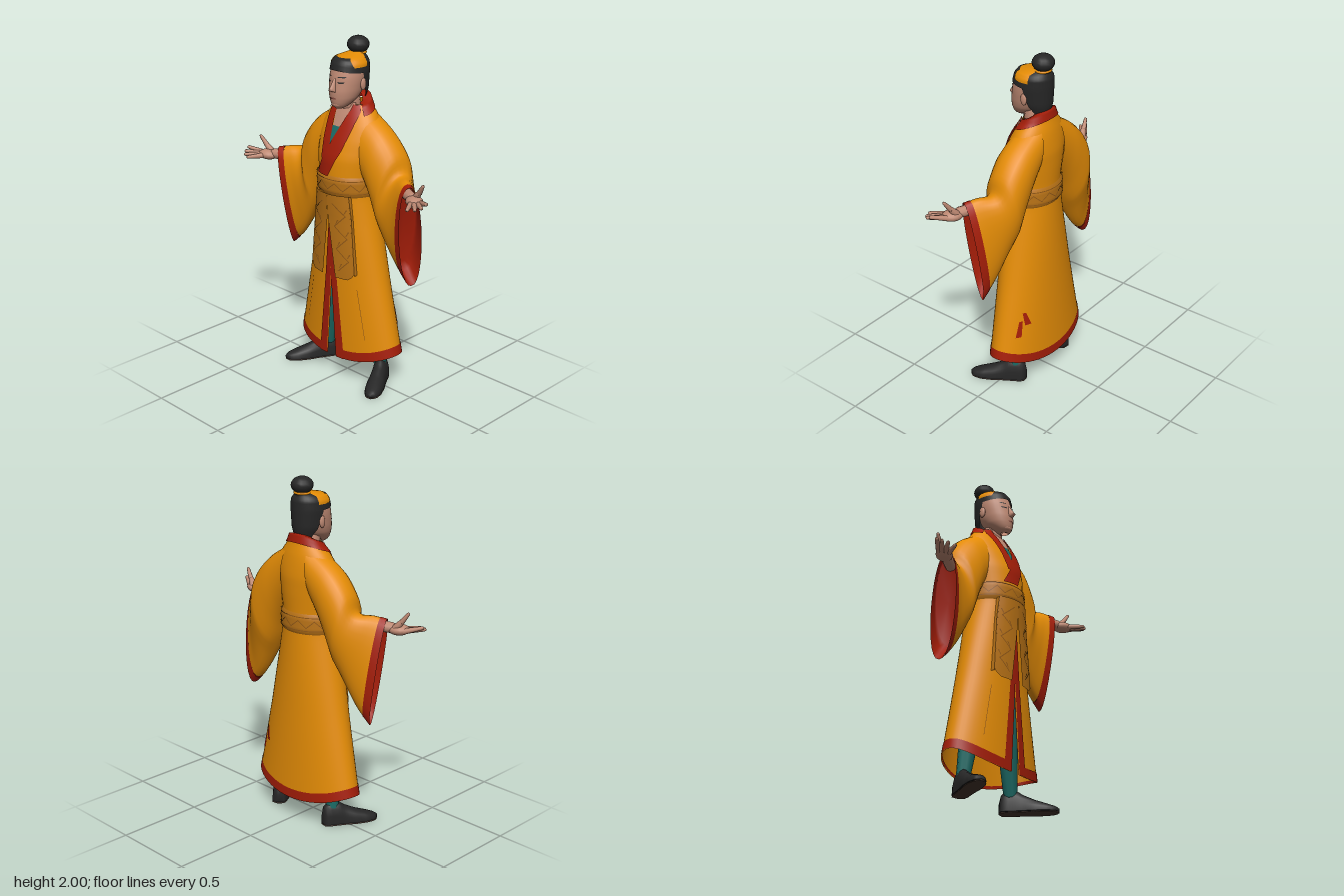
import * as THREE from 'three';
import { mergeVertices } from 'three/addons/utils/BufferGeometryUtils.js';

const V = (x, y, z) => new THREE.Vector3(x, y, z);
const paint = (name, color) => {
  const m = new THREE.MeshStandardMaterial({ color, side: THREE.DoubleSide });
  m.name = name;
  return m;
};

// Linear lookup in rows of [key, value, value, ...]
function at(rows, k) {
  let i = 0;
  while (i < rows.length - 2 && k > rows[i + 1][0]) i++;
  const p = rows[i], q = rows[i + 1];
  const t = THREE.MathUtils.clamp((k - p[0]) / (q[0] - p[0]), 0, 1);
  return p.slice(1).map((a, n) => a + (q[n + 1] - a) * t);
}
// Oval cross-sections: [y, half width, back z, front z]
const BODY = [[0.14, 0.385, -0.2, 0.13], [0.65, 0.275, -0.178, 0.13], [1.0, 0.205, -0.165, 0.135],
  [1.14, 0.178, -0.16, 0.142], [1.24, 0.175, -0.158, 0.147], [1.35, 0.19, -0.165, 0.14],
  [1.45, 0.2, -0.168, 0.108], [1.52, 0.195, -0.16, 0.075], [1.58, 0.16, -0.15, 0.045],
  [1.63, 0.112, -0.135, 0.015], [1.7, 0.08, -0.122, 0]];
const HEAD = [[1.622, 0.02, 0.04, 0.085], [1.64, 0.048, 0, 0.105], [1.68, 0.076, -0.06, 0.112],
  [1.72, 0.088, -0.09, 0.113], [1.77, 0.095, -0.1, 0.104], [1.8, 0.097, -0.11, 0.1],
  [1.85, 0.095, -0.12, 0.085], [1.89, 0.07, -0.1, 0.05]];
const HAIR = [[1.67, 0.066, -0.122, 0.03], [1.72, 0.092, -0.132, 0.09], [1.82, 0.102, -0.136, 0.104],
  [1.87, 0.097, -0.135, 0.09], [1.895, 0.08, -0.122, 0.07], [1.918, 0.03, -0.1, -0.04]];
// Point on an oval stack; angle 0 is the front and turns towards +x
function oval(rows, a, y, off = 0) {
  const [w, b, f] = at(rows, y);
  return [(w + off) * Math.sin(a), y, (f + b) / 2 + ((f - b) / 2 + off) * Math.cos(a)];
}
function frontZ(rows, x, y, off) {
  const [w, b, f] = at(rows, y);
  return (f + b) / 2 + (f - b) / 2 * Math.sqrt(Math.max(0, 1 - (x / w) ** 2)) + off;
}
const zigzag = t => 4 * Math.abs(t - Math.floor(t + 0.5)) - 1;
const TAU = Math.PI * 2;

export function createModel() {
  const group = new THREE.Group();
  const amber = paint('amber silk', 0xe48c06), red = paint('red trim', 0xa31d08);
  const skin = paint('skin', 0xbe8973), black = paint('black hair and leather', 0x262626);
  const teal = paint('teal cloth', 0x1b6a65), brown = paint('brown brocade', 0xb87216);
  const bronze = paint('bronze thread', 0x8e5616), sole = paint('dark sole', 0x45342b);
  const lip = paint('lip', 0x8a5044);

  function add(name, geo, mat) {
    const m = new THREE.Mesh(geo, mat);
    m.name = name;
    group.add(m);
    return m;
  }
  // Grid surface from a rule (u, v) -> [x, y, z]
  function surf(name, mat, nu, nv, fn) {
    const pos = [], idx = [], n = nu + 1;
    for (let j = 0; j <= nv; j++) for (let i = 0; i <= nu; i++) pos.push(...fn(i / nu, j / nv));
    for (let j = 0; j < nv; j++) for (let i = 0; i < nu; i++) {
      const a = j * n + i;
      idx.push(a, a + 1, a + n, a + 1, a + n + 1, a + n);
    }
    let g = new THREE.BufferGeometry();
    g.setAttribute('position', new THREE.Float32BufferAttribute(pos, 3));
    g.setIndex(idx);
    g = mergeVertices(g);
    g.computeVertexNormals();
    return add(name, g, mat);
  }
  // Thin plate lying on the front of an oval stack: edges [y, x0, x1]
  function patch(name, mat, rows, edges, off, nv = 12) {
    const y0 = edges[0][0], y1 = edges[edges.length - 1][0];
    surf(name, mat, 6, nv, (u, v) => {
      const y = y0 + (y1 - y0) * v, [a, b] = at(edges, y), x = a + (b - a) * u;
      return [x, y, frontZ(rows, x, y, off)];
    });
  }
  const flip = (edges, s) => edges.map(([y, a, b]) => (s > 0 ? [y, a, b] : [y, -b, -a]));
  // Tapered rounded segment between two points
  function limb(name, mat, a, b, r0, r1) {
    const len = a.distanceTo(b);
    const g = new THREE.LatheGeometry([[0, -r0 * 0.6], [r0 * 0.8, -r0 * 0.3], [r0, 0], [r1, len - r1],
      [r1 * 0.7, len - r1 * 0.3], [0, len]].map(p => new THREE.Vector2(...p)), 10);
    const m = add(name, g, mat);
    m.position.copy(a);
    m.quaternion.setFromUnitVectors(V(0, 1, 0), b.clone().sub(a).normalize());
  }
  function ball(name, mat, p, s) {
    const m = add(name, new THREE.SphereGeometry(1, 14, 10), mat);
    m.position.set(...p);
    m.scale.set(...s);
    return m;
  }

  // Skirt with a front slit and a raised hem at the sides
  const hem = a => 0.212 - 0.07 * Math.cos(a) ** 2;
  const slit = y => Math.max(0, 0.035 * (0.66 - y) / 0.5);
  const skirtAt = (u, y) => {
    const s = Math.asin(slit(y) / at(BODY, y)[0]);
    return s + (TAU - 2 * s) * u;
  };
  surf('skirt', amber, 56, 20, (u, v) => {
    const y = hem(u * TAU), h = y + (1.2 - y) * v;
    return oval(BODY, skirtAt(u, h), h);
  });
  [['skirt hem', 0.055, 0.003], ['skirt hem lining', 0.016, -0.003]].forEach(([name, tall, off]) =>
    surf(name, red, 56, 2, (u, v) => {
      const h = hem(u * TAU) + tall * v;
      return oval(BODY, skirtAt(u, h), h, off);
    }));
  // Red marks at the back of the skirt
  [[2.2, 0.35, 0.1, 0.03], [2.42, 0.42, 0.08, -0.12]].forEach(([a, y, h, lean]) =>
    surf('skirt mark', red, 2, 4, (u, v) => oval(BODY, a + (u - 0.5) * 0.15 * (1 - 0.4 * v) + lean * v, y + h * v, 0.004)));
  for (const s of [1, -1]) {
    patch('skirt front trim', red, BODY, flip([[0.143, 0.037, 0.097], [0.66, 0, 0.042], [1.05, 0, 0.004]], s), 0.005, 16);
    patch('skirt trim lining', red, BODY, flip([[0.143, 0.037, 0.06], [0.64, 0.002, 0.02]], s), -0.004, 16);
    patch('skirt pleat', bronze, BODY, flip([[0.3, 0.228, 0.231], [0.6, 0.172, 0.175]], s), 0.003, 6);
    // Brocade apron panels
    patch('apron panel', brown, BODY, flip([[0.655, 0.05, 0.13], [0.685, 0.046, 0.17], [1.02, 0.001, 0.142], [1.15, 0, 0.125]], s), 0.022, 24);
    surf('apron border', brown, 1, 10, (u, v) => {
      const y = 0.685 + 0.46 * v, x = s * (0.17 - 0.045 * v);
      return [x, y, frontZ(BODY, x, y, 0.022 * u)];
    });
    surf('apron pattern', bronze, 1, 36, (u, v) => {
      const y = 0.7 + 0.4 * v, x = s * (0.105 - 0.035 * v + 0.035 * zigzag(v * 3) + 0.008 * u);
      return [x, y, frontZ(BODY, x, y, 0.025)];
    });
    for (let k = 0; k < 6; k++) {
      const y = 0.72 + k * 0.065, x = 0.105 - k * 0.006 + (k % 2 ? 0.03 : -0.025);
      patch('apron stroke', bronze, BODY, flip([[y, x, x + 0.004], [y + 0.028, x + 0.012, x + 0.02]], s), 0.025, 2);
    }
  }

  // Upper robe, sash and collar
  surf('upper robe', amber, 40, 18, (u, v) => oval(BODY, u * TAU, 1.18 + 0.46 * v));
  surf('sash', brown, 40, 6, (u, v) => oval(BODY, u * TAU, 1.135 + 0.117 * v, v === 0 || v === 1 ? 0 : 0.011));
  for (const y of [1.157, 1.232]) surf('sash line', bronze, 40, 1, (u, v) => oval(BODY, u * TAU, y + 0.005 * v, 0.014));
  surf('sash pattern', bronze, 120, 1, (u, v) => oval(BODY, u * TAU, 1.193 + 0.02 * zigzag(u * 12) + 0.006 * v, 0.014));
  patch('chest', skin, BODY, [[1.5, -0.03, 0.02], [1.6, -0.055, 0.055], [1.65, -0.065, 0.065]], 0.003);
  patch('undershirt', teal, BODY, [[1.38, -0.02, 0], [1.5, -0.035, 0.02], [1.52, -0.04, 0.025]], 0.005);
  patch('right collar', red, BODY, [[1.34, -0.065, 0], [1.5, -0.09, -0.03], [1.6, -0.112, -0.05], [1.64, -0.09, -0.056]], 0.008);
  patch('left collar', red, BODY, [[1.25, -0.1, 0], [1.4, -0.025, 0.075], [1.5, 0.015, 0.1], [1.6, 0.05, 0.112], [1.64, 0.056, 0.09]], 0.011);
  // Standing collar, rising to the back and folded in towards the neck
  surf('back collar', red, 24, 5, (u, v) => {
    const a = 0.95 + (TAU - 1.9) * u, lift = 0.07 * (1 - Math.cos(a)) / 2;
    return oval(BODY, a, 1.572 + lift + 0.05 * Math.min(1, v * 1.25), v < 1 ? 0.01 : -0.045);
  });

  // Wide drooping sleeves: top edge, bottom edge, [key, half thickness, yaw]
  const top = new THREE.CatmullRomCurve3([V(0.075, 1.62, -0.065), V(0.25, 1.51, -0.06), V(0.345, 1.4, -0.058),
    V(0.38, 1.305, -0.045), V(0.45, 1.295, 0.01), V(0.51, 1.28, 0.052)]);
  const low = new THREE.CatmullRomCurve3([V(0.12, 1.28, -0.03), V(0.19, 1.15, -0.035), V(0.24, 1.02, -0.04),
    V(0.29, 0.92, -0.04), V(0.38, 0.77, -0.035), V(0.47, 0.68, -0.025)]);
  const girth = [[0, 0.11, 0], [0.2, 0.122, 0], [0.45, 0.122, 0.1], [0.6, 0.104, 0.25], [0.8, 0.077, 0.4], [1, 0.066, 0.45]];
  function sleeve(k, t, s, scale = 1) {
    const a = top.getPoint(k), b = low.getPoint(k), [th, yaw] = at(girth, k);
    const c = a.clone().add(b).multiplyScalar(0.5), h = a.sub(b).multiplyScalar(0.5 * scale);
    const side = Math.sign(Math.sin(t)) * Math.abs(Math.sin(t)) ** 0.85 * th * scale;
    c.addScaledVector(h, Math.cos(t)).add(V(-Math.sin(yaw) * side, 0, Math.cos(yaw) * side));
    return [s * c.x, c.y, c.z];
  }

  for (const s of [1, -1]) {
    surf('sleeve', amber, 28, 24, (u, v) => sleeve(0.9 * v, u * TAU, s));
    surf('cuff', red, 28, 3, (u, v) => sleeve(0.9 + 0.1 * v, u * TAU, s, 1.01));
    surf('cuff lining', red, 28, 4, (u, v) => sleeve(1 - 0.2 * Math.min(1, v / 0.75), u * TAU, s, v === 1 ? 0 : 1 - 0.13 * v));

    // Hands, palm up with spread fingers
    limb('wrist', skin, V(s * 0.42, 1.24, 0.01), V(s * 0.565, 1.235, 0.076), 0.034, 0.03);
    const palm = ball('palm', skin, [s * 0.572, 1.229, 0.08], [0.06, 0.03, 0.047]);
    palm.rotation.set(0, -s * 0.5, s * 0.05);
    [[0.702, 1.258, 0.13, 0.605, 0.072], [0.694, 1.24, 0.16, 0.602, 0.09], [0.67, 1.23, 0.186, 0.593, 0.105],
      [0.628, 1.224, 0.203, 0.578, 0.113]].forEach(([x, y, z, bx, bz]) =>
      limb('finger', skin, V(s * bx, 1.227, bz), V(s * x, y, z), 0.017, 0.01));
    limb('thumb', skin, V(s * 0.565, 1.24, 0.06), V(s * 0.603, 1.288, 0.073), 0.022, 0.015);
    limb('thumb tip', skin, V(s * 0.598, 1.28, 0.07), V(s * 0.637, 1.335, 0.084), 0.015, 0.009);

    // Legs and turned-out shoes
    limb('leg', teal, V(s * 0.213, 0.1, -0.055), V(s * 0.1, 0.85, -0.02), 0.038, 0.085);
    const shoe = [[0, 0.012, 0.05], [0.012, 0.036, 0.1], [0.04, 0.044, 0.128], [0.1, 0.045, 0.126], [0.135, 0.046, 0.1],
      [0.2, 0.052, 0.07], [0.27, 0.049, 0.046], [0.315, 0.034, 0.03], [0.335, 0.01, 0.016]];
    const foot = (name, mat, y0, wide, tall) => surf(name, mat, 18, 24, (u, v) => {
      const [w, h] = at(shoe, 0.335 * v), d = 0.335 * v, t = u * TAU;
      const r = w * wide * Math.cos(t) * (v === 0 || v === 1 ? 0 : 1);
      const y = y0 + (tall || h) * Math.max(0, Math.sin(t)) ** 0.8;
      return [s * (0.185 + d * 0.5 + r * 0.866), y, -0.115 + d * 0.866 - r * 0.5];
    });
    foot('shoe', black, 0.008, 1, 0);
    foot('sole', sole, 0, 0.99, 0.01);

    // Face details and ears
    ball('ear', skin, [s * 0.095, 1.755, -0.025], [0.011, 0.034, 0.02]);
    patch('eye', black, HEAD, flip([[1.769, 0.03, 0.055], [1.777, 0.024, 0.06]], s), 0.003, 2);
    patch('eyebrow', black, HEAD, flip([[1.8, 0.024, 0.06], [1.806, 0.028, 0.066]], s), 0.003, 2);
  }

  // Head, neck and face
  limb('neck', skin, V(0, 1.5, -0.045), V(0, 1.72, -0.01), 0.062, 0.056);
  surf('head', skin, 32, 20, (u, v) => oval(HEAD, u * TAU, 1.622 + 0.268 * v));
  ball('chin', skin, [0, 1.648, 0.082], [0.035, 0.02, 0.026]);
  surf('nose', skin, 8, 6, (u, v) => {
    const t = (u - 0.5) * Math.PI, w = 0.019 * (1 - 0.6 * v);
    const out = (v === 0 ? 0 : 0.036 * (1 - v) + 0.006) * Math.cos(t);
    const y = 1.718 + 0.075 * v;
    return [w * Math.sin(t), y, frontZ(HEAD, 0, y, -0.004) + out];
  });
  patch('mouth', lip, HEAD, [[1.68, -0.016, 0.016], [1.686, -0.028, 0.028], [1.69, -0.012, 0.012]], 0.004, 4);

  // Hair, cap and topknot
  surf('back hair', black, 24, 12, (u, v) => {
    const a = 1.95 - 0.45 * v;
    return oval(HAIR, a + (TAU - 2 * a) * u, 1.67 + 0.19 * v);
  });
  surf('top hair', black, 32, 10, (u, v) => {
    const y0 = 1.828 + 0.008 * Math.cos(2 * u * TAU);
    return oval(HAIR, u * TAU, y0 + (1.918 - y0) * v);
  });
  // The cap's lower edge steps up over the front hair
  surf('cap', amber, 48, 8, (u, v) => {
    const a = (u - 0.5) * 3.7, y0 = 1.852 + 0.047 * (1 - THREE.MathUtils.smoothstep(Math.abs(a), 0.75, 1.1));
    return oval(HAIR, a, y0 + (1.919 - y0) * v, 0.004);
  });
  limb('topknot stem', black, V(0, 1.88, -0.08), V(0, 1.95, -0.083), 0.046, 0.04);
  const band = add('topknot band', new THREE.TorusGeometry(0.043, 0.007, 8, 20), amber);
  band.position.set(0, 1.91, -0.08);
  band.rotation.x = Math.PI / 2;
  ball('topknot', black, [0, 1.952, -0.083], [0.063, 0.048, 0.062]);

  return group;
}
